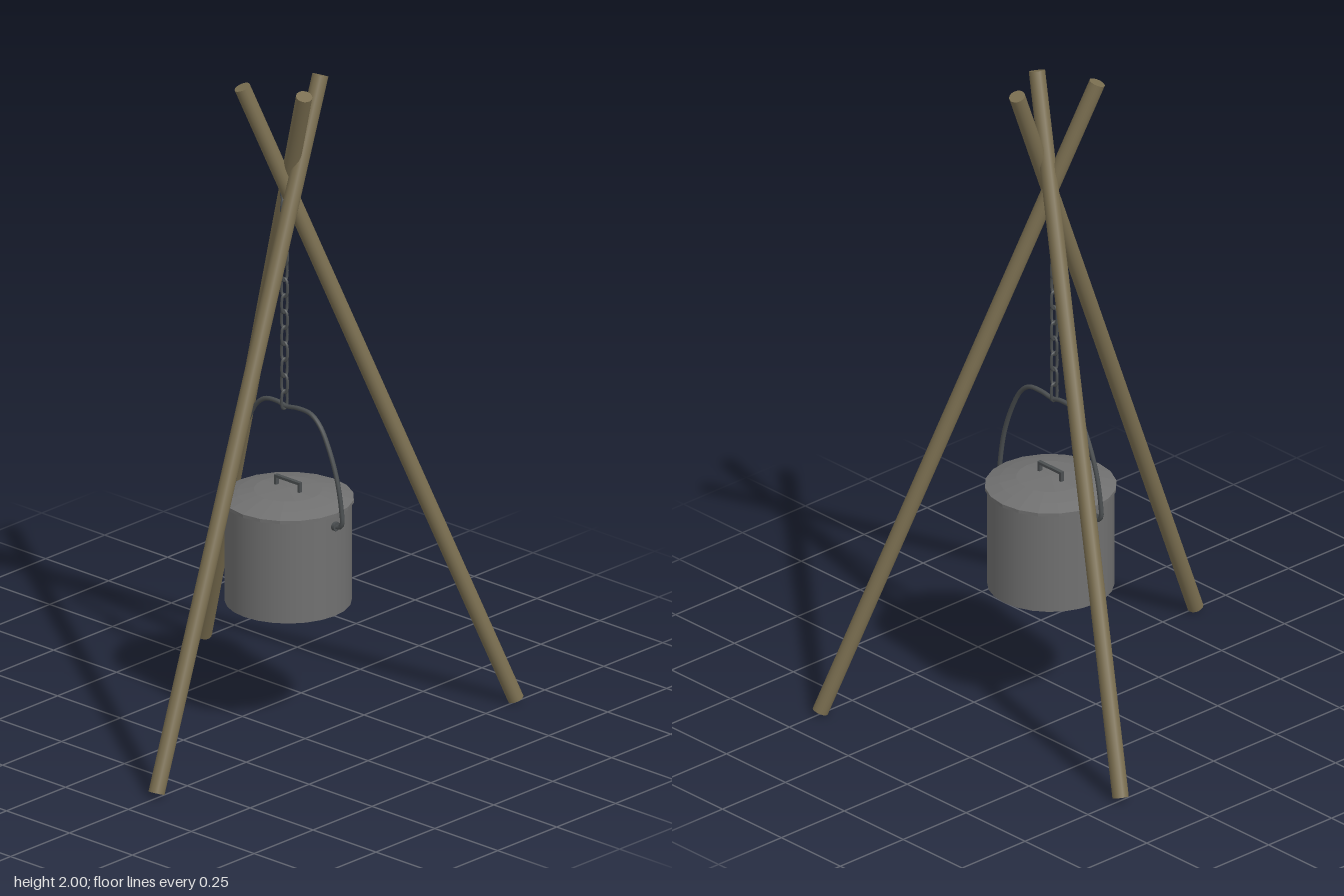
import * as THREE from 'three';

const V = (x, y, z = 0) => new THREE.Vector3(x, y, z);
const mat = (color) => new THREE.MeshStandardMaterial({ color });

export function createModel() {
  const root = new THREE.Group();
  root.name = 'campfireTripod';
  const wood = mat(0x7a6e50), iron = mat(0x707070), dark = mat(0x4a4e50);

  const add = (parent, name, geometry, material, x = 0, y = 0, z = 0) => {
    const mesh = new THREE.Mesh(geometry, material);
    mesh.name = name;
    mesh.position.set(x, y, z);
    parent.add(mesh);
    return mesh;
  };

  // Three crossing poles, each given by its foot and tip
  const poles = [
    ['poleRight', V(-0.5, 0.01, -0.37), V(0.218, 1.99, -0.03)],
    ['poleBack', V(0.5, 0.008, -0.627), V(0.04, 1.992, 0.043)],
    ['poleFront', V(0.242, 0.01, 0.622), V(0.137, 1.99, -0.185)],
  ];
  for (const [name, foot, tip] of poles) {
    const axis = tip.clone().sub(foot);
    const pole = add(root, name, new THREE.CylinderGeometry(0.024, 0.024, axis.length(), 16), wood);
    pole.position.copy(foot).add(tip).multiplyScalar(0.5);
    pole.quaternion.setFromUnitVectors(V(0, 1, 0), axis.normalize());
  }

  // Cooking pot hanging under the crossing
  const pot = new THREE.Group();
  pot.name = 'pot';
  pot.position.set(0.115, 0, -0.072);
  root.add(pot);
  add(pot, 'potBody', new THREE.CylinderGeometry(0.185, 0.185, 0.315, 24), iron, 0, 0.5325, 0);

  // Shallow domed lid with a thin rim
  const lidProfile = [[0, 0.688], [0.192, 0.688], [0.192, 0.698], [0.15, 0.711], [0.1, 0.722], [0, 0.727]]
    .map(([r, y]) => new THREE.Vector2(r, y));
  const lidMaterial = mat(0x707070);
  lidMaterial.flatShading = true;
  add(pot, 'lid', new THREE.LatheGeometry(lidProfile, 20), lidMaterial);

  // Staple-shaped lid handle
  add(pot, 'lidHandleBar', new THREE.BoxGeometry(0.1, 0.008, 0.012), dark, 0, 0.751, 0);
  for (const s of [-1, 1]) {
    add(pot, 'lidHandleLeg', new THREE.BoxGeometry(0.008, 0.034, 0.012), dark, s * 0.046, 0.735, 0);
    // Ear plate that takes the hooked end of the bail
    const ear = add(pot, 'bailEar', new THREE.CylinderGeometry(0.014, 0.014, 0.012, 12), dark, s * 0.188, 0.657, 0);
    ear.rotation.z = Math.PI / 2;
  }

  // Bent wire bail, mirrored about the pot's middle, with a dip for the chain
  const half = [[0.18, 0.657], [0.203, 0.657], [0.214, 0.67], [0.212, 0.71], [0.195, 0.8], [0.16, 0.895],
    [0.125, 0.955], [0.09, 0.981], [0.04, 0.985]];
  const path = [
    ...half.map(([x, y]) => V(-x, y)),
    V(-0.01, 0.979),
    ...half.slice().reverse().map(([x, y]) => V(x, y)),
  ];
  add(pot, 'bail', new THREE.TubeGeometry(new THREE.CatmullRomCurve3(path), 80, 0.007, 8), dark);

  // Chain of oval links, alternately turned a quarter
  const oval = new THREE.CatmullRomCurve3([
    V(0.0105, -0.018), V(0.0105, 0.018), V(0.006, 0.027), V(-0.006, 0.027),
    V(-0.0105, 0.018), V(-0.0105, -0.018), V(-0.006, -0.027), V(0.006, -0.027),
  ], true, 'centripetal');
  const link = new THREE.TubeGeometry(oval, 24, 0.0045, 6, true);
  const chain = new THREE.Group();
  chain.name = 'chain';
  chain.position.set(0.104, 1.0, -0.068);
  root.add(chain);
  for (let i = 0; i < 14; i++) {
    const mesh = add(chain, 'chainLink', link, dark, 0, i * 0.05, 0);
    mesh.rotation.y = i % 2 ? 0 : Math.PI / 2;
  }

  return root;
}
